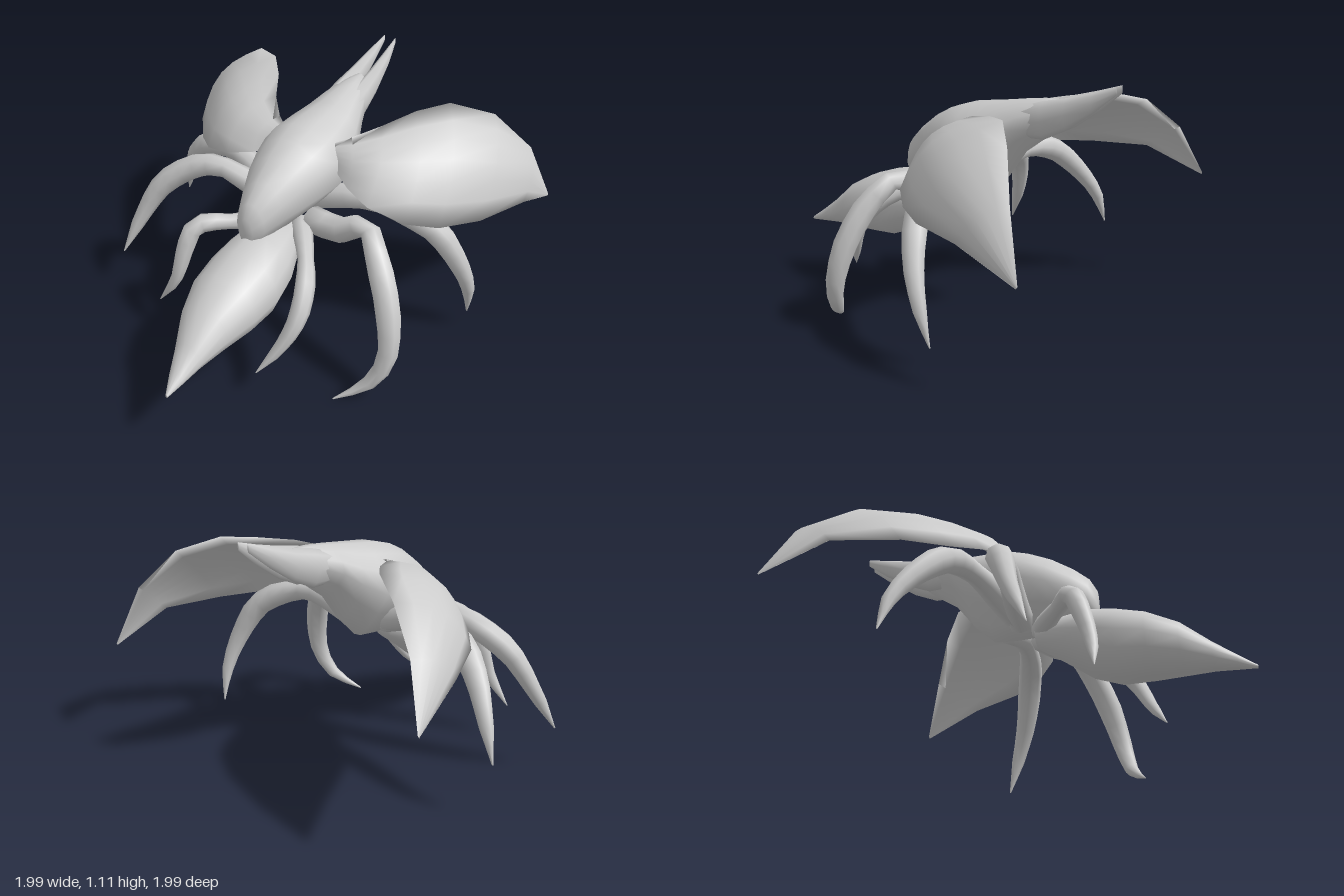
import * as THREE from 'three';

const V = (x, y, z) => new THREE.Vector3(x, y, z);
const grey = new THREE.MeshStandardMaterial({ color: 0xcccccc });
grey.name = 'grey shell';

// Closed smooth skin over a list of equal-sized rings, with capped ends
function loft(name, rings) {
  const n = rings[0].length, pts = rings.flat(), idx = [];
  for (let r = 0; r < rings.length - 1; r++) {
    for (let i = 0; i < n; i++) {
      const a = r * n + i, b = r * n + (i + 1) % n;
      idx.push(a, b, a + n, b, b + n, a + n);
    }
  }
  const cap = (ring, start, flip) => {
    const c = pts.length;
    pts.push(ring.reduce((s, p) => s.add(p), V(0, 0, 0)).divideScalar(n));
    for (let i = 0; i < n; i++) {
      const a = start + i, b = start + (i + 1) % n;
      if (flip) idx.push(c, b, a); else idx.push(c, a, b);
    }
  };
  cap(rings[0], 0, true);
  cap(rings[rings.length - 1], (rings.length - 1) * n, false);
  // turn the faces outward if the enclosed volume comes out negative
  let vol = 0;
  for (let i = 0; i < idx.length; i += 3) {
    vol += pts[idx[i]].dot(pts[idx[i + 1]].clone().cross(pts[idx[i + 2]]));
  }
  if (vol < 0) idx.reverse();
  const g = new THREE.BufferGeometry().setFromPoints(pts);
  g.setIndex(idx);
  g.computeVertexNormals();
  const mesh = new THREE.Mesh(g, grey);
  mesh.name = name;
  return mesh;
}

// Rounded section across the body axis: z, top, bottom, half width, x centre
function section([z, top, bottom, w, cx = 0], taper, sides = 14) {
  const ring = [], mid = (top + bottom) / 2, h = (top - bottom) / 2;
  for (let i = 0; i < sides; i++) {
    const a = i / sides * Math.PI * 2, s = Math.sin(a);
    const narrow = s < 0 ? 1 + taper * s : 1;
    ring.push(V(cx + Math.cos(a) * w * narrow, mid + s * h, z));
  }
  return ring;
}

// Cupped leaf section between a head-side edge and a tail-side edge;
// flatten lowers the high edge and raises the low one
function wingSection([h, t], side, flatten) {
  const H = V(...h), T = V(...t), chord = H.distanceTo(T), n = V(0.62, 0.71, 0.33), ring = [];
  H.y -= flatten * chord;
  T.y += flatten * chord * 0.6;
  T.x -= flatten * chord * 0.6;
  const put = (u, depth) => {
    const p = H.clone().lerp(T, u).addScaledVector(n, Math.sin(u * Math.PI) * chord * depth);
    p.x *= side;
    ring.push(p);
  };
  for (let i = 0; i <= 6; i++) put(i / 6, 0.15);
  for (let i = 5; i >= 1; i--) put(i / 6, 0.04);
  return ring;
}

// Tapered limb along a smooth path
function limb(name, path, radii, scale = 1, sides = 8, steps = 14) {
  const curve = new THREE.CatmullRomCurve3(path.map(p => V(...p)));
  const frames = curve.computeFrenetFrames(steps, false), rings = [];
  for (let s = 0; s <= steps; s++) {
    const k = s / steps * (radii.length - 1), j = Math.min(Math.floor(k), radii.length - 2);
    const r = THREE.MathUtils.lerp(radii[j], radii[j + 1], k - j) * scale;
    const c = curve.getPointAt(s / steps), ring = [];
    for (let i = 0; i < sides; i++) {
      const a = i / sides * Math.PI * 2;
      ring.push(c.clone().addScaledVector(frames.normals[s], Math.cos(a) * r)
        .addScaledVector(frames.binormals[s], Math.sin(a) * r));
    }
    rings.push(ring);
  }
  return loft(name, rings);
}

export function createModel() {
  const model = new THREE.Group();
  model.name = 'winged insect';

  // Body group: symmetrical about its own axis, turned and slightly rolled
  const body = new THREE.Group();
  body.name = 'body';
  body.rotation.set(0, -0.51, -0.05, 'YXZ');
  body.position.set(-0.079, 0, -0.044);
  model.add(body);

  // Humped thorax, blunt in front and narrowing toward the horns
  body.add(loft('thorax', [
    [0.54, 0.72, 0.57, 0.035, -0.035], [0.51, 0.78, 0.55, 0.07, -0.03], [0.44, 0.845, 0.55, 0.105, -0.025],
    [0.34, 0.915, 0.55, 0.15, -0.02], [0.25, 0.96, 0.55, 0.18, -0.015], [0.16, 0.985, 0.55, 0.2, -0.015],
    [0.06, 0.998, 0.56, 0.185, -0.01], [-0.04, 1.01, 0.66, 0.155], [-0.13, 1.022, 0.78, 0.12],
    [-0.23, 1.033, 0.85, 0.085], [-0.31, 1.035, 0.92, 0.035],
  ].map(s => section(s, 0.6))));

  // Pointed abdomen
  body.add(loft('abdomen', [
    [0.26, 0.6, 0.5, 0.06], [0.38, 0.62, 0.42, 0.12, 0.005], [0.5, 0.635, 0.33, 0.162, 0.005],
    [0.62, 0.615, 0.285, 0.175, 0.005], [0.75, 0.575, 0.28, 0.163], [0.88, 0.51, 0.28, 0.12],
    [1.0, 0.41, 0.285, 0.068, 0.01], [1.09, 0.345, 0.282, 0.036, 0.02], [1.165, 0.295, 0.28, 0.006, 0.03],
  ].map(s => section(s, 0.15))));

  // Head-side and tail-side edge points from wing root to tip
  const wing = [
    [[0.12, 0.92, 0.11], [0.14, 0.83, 0.15]],
    [[0.18, 0.95, 0.07], [0.24, 0.79, 0.2]],
    [[0.265, 0.985, -0.03], [0.36, 0.76, 0.24]],
    [[0.35, 1.015, -0.18], [0.51, 0.7, 0.18]],
    [[0.45, 1.03, -0.305], [0.62, 0.665, 0.08]],
    [[0.615, 0.97, -0.43], [0.74, 0.655, -0.08]],
    [[0.77, 0.8, -0.535], [0.84, 0.645, -0.335]],
    [[0.865, 0.54, -0.62], [0.867, 0.53, -0.615]],
  ];
  for (const side of [1, -1]) {
    const label = side > 0 ? 'left' : 'right';
    // the right wing is held a little flatter
    const flatten = side > 0 ? 0 : 0.07;
    body.add(loft(label + 'Wing', wing.map(s => wingSection(s, side, flatten))));
    // Flattened horn
    body.add(loft(label + 'Horn', [
      [-0.12, 0.99, 0.86, 0.05, 0.05], [-0.25, 1.03, 0.86, 0.045, 0.045], [-0.36, 1.05, 0.91, 0.034, 0.042],
      [-0.48, 1.08, 0.99, 0.022, 0.036], [-0.585, 1.11, 1.075, 0.004, 0.028],
    ].map(([z, t, b, w, cx]) => section([z, t, b, w, cx * side], 0.3, 8))));
  }

  // Six legs, each in its own stride
  const taper = [0.06, 0.056, 0.045, 0.056, 0.055, 0.044, 0.03, 0.003];
  const legs = [
    ['leftHindLeg', 1, [[-0.06, 0.63, 0.1], [0.13, 0.69, 0.2], [0.28, 0.67, 0.26], [0.44, 0.59, 0.29],
      [0.55, 0.42, 0.29], [0.61, 0.25, 0.26], [0.62, 0.09, 0.22]]],
    ['leftMiddleLeg', 1, [[-0.08, 0.6, 0.24], [0.05, 0.62, 0.35], [0.15, 0.685, 0.41], [0.195, 0.6, 0.52],
      [0.24, 0.42, 0.63], [0.24, 0.22, 0.69], [0.17, 0.09, 0.7], [0.02, 0.005, 0.71]]],
    ['leftFrontLeg', 0.75, [[-0.13, 0.58, 0.24], [-0.105, 0.57, 0.4], [-0.095, 0.5, 0.56],
      [-0.125, 0.39, 0.65], [-0.2, 0.26, 0.685], [-0.3, 0.145, 0.71]]],
    ['rightHindLeg', 1, [[-0.22, 0.63, 0.09], [-0.38, 0.7, -0.08], [-0.48, 0.71, -0.18], [-0.58, 0.67, -0.27],
      [-0.66, 0.56, -0.38], [-0.71, 0.42, -0.48], [-0.75, 0.26, -0.53]]],
    ['rightMiddleLeg', 1, [[-0.2, 0.61, 0.12], [-0.36, 0.66, 0.05], [-0.47, 0.71, 0.01], [-0.6, 0.685, -0.05],
      [-0.77, 0.575, -0.075], [-0.88, 0.415, -0.07], [-0.99, 0.215, -0.03]]],
    ['rightFrontLeg', 0.75, [[-0.2, 0.58, 0.2], [-0.4, 0.57, 0.22], [-0.58, 0.56, 0.245], [-0.635, 0.45, 0.27],
      [-0.68, 0.31, 0.29], [-0.77, 0.17, 0.27]]],
  ];
  for (const [name, scale, path] of legs) model.add(limb(name, path, taper, scale));

  return model;
}
